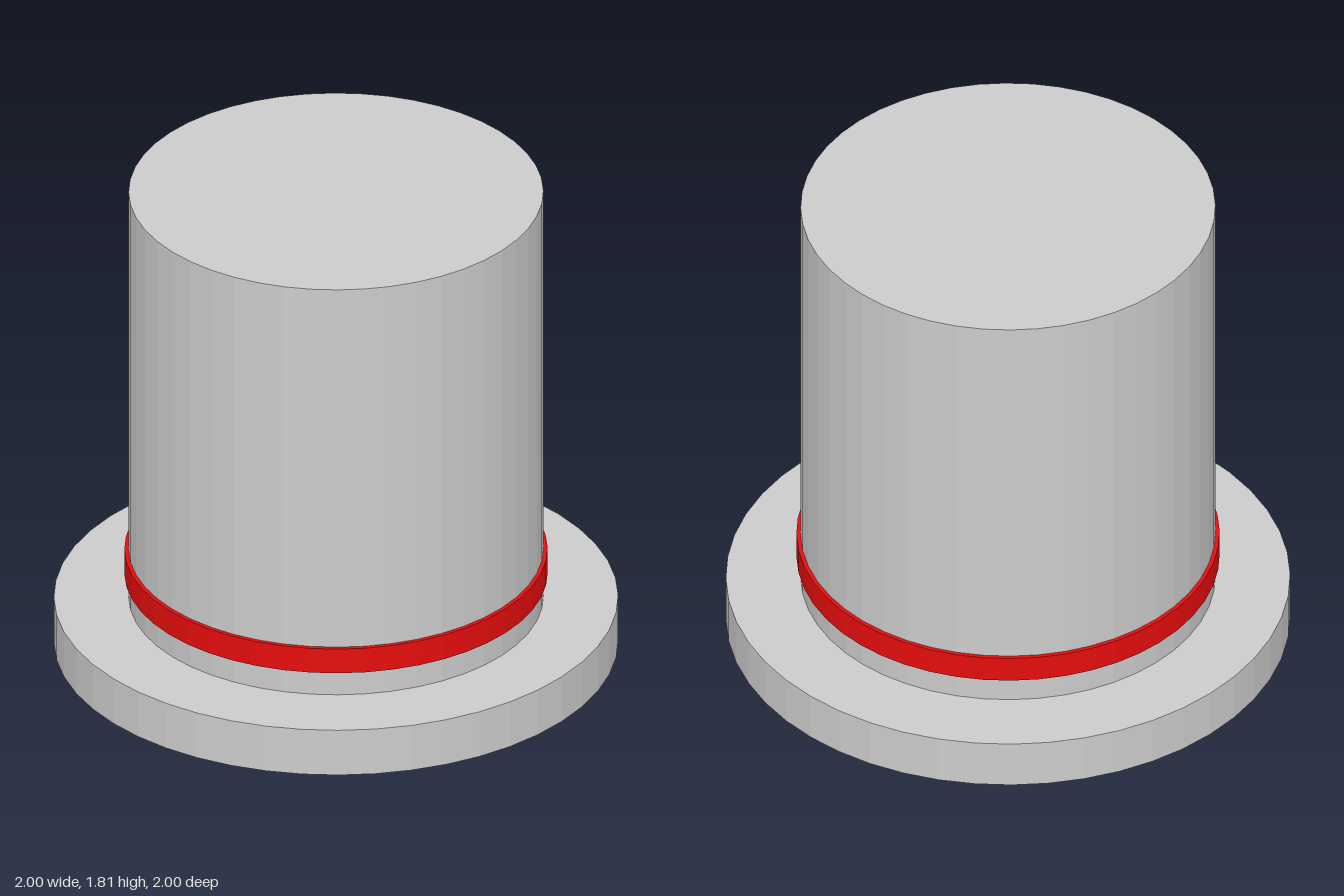
import * as THREE from 'three';

const SIDES = 48;

export function createModel() {
  const group = new THREE.Group();
  group.name = 'topHat';
  const grey = new THREE.MeshStandardMaterial({ color: 0xcccccc, flatShading: true });
  const red = new THREE.MeshStandardMaterial({ color: 0xe60d0d, flatShading: true });

  // upright disc between two heights
  const addDisc = (name, radius, bottom, top, material) => {
    const mesh = new THREE.Mesh(
      new THREE.CylinderGeometry(radius, radius, top - bottom, SIDES), material);
    mesh.name = name;
    mesh.position.y = (bottom + top) / 2;
    group.add(mesh);
  };

  addDisc('brim', 1, 0, 0.18, grey);
  addDisc('crown', 0.735, 0.18, 1.81, grey);
  addDisc('hatBand', 0.75, 0.275, 0.372, red);

  return group;
}
